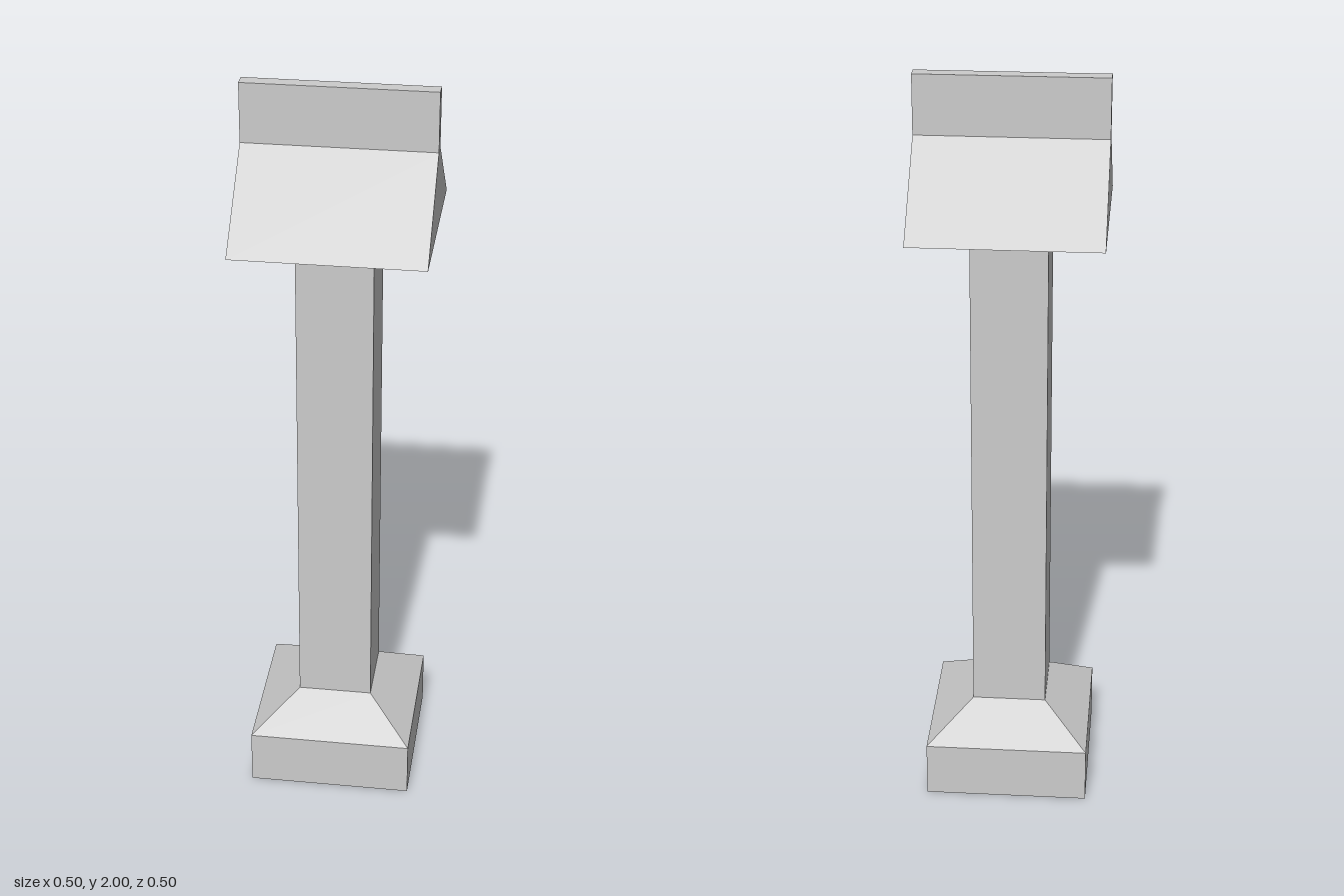
import * as THREE from 'three';

const grey = new THREE.MeshStandardMaterial({ color: 0xcccccc, flatShading: true });

export function createModel() {
  const group = new THREE.Group();

  const add = (name, geometry) => {
    const mesh = new THREE.Mesh(geometry, grey);
    mesh.name = name;
    group.add(mesh);
  };

  // Square block from y0 to y1, tapering between two half widths
  const block = (name, halfBottom, halfTop, y0, y1, open = true) => {
    const g = new THREE.CylinderGeometry(halfTop * Math.SQRT2, halfBottom * Math.SQRT2, y1 - y0, 4, 1, open);
    g.rotateY(Math.PI / 4).translate(0, (y0 + y1) / 2, 0);
    add(name, g);
  };

  // Plinth, sloped shoulder, shaft and the shallow underside of the cap
  block('plinth', 0.22, 0.22, 0, 0.151, false);
  block('plinthShoulder', 0.22, 0.1, 0.151, 0.241);
  block('shaft', 0.1, 0.1, 0.241, 1.619);
  block('capUnderside', 0.1, 0.248, 1.619, 1.63);

  // Gabled cap with its upright ridge fin, one section run along x
  const half = 0.248, fin = 0.019, eaves = 1.63, ridge = 1.843;
  const section = new THREE.Shape([
    [-half, eaves], [half, eaves], [fin, ridge], [fin, 2], [-fin, 2], [-fin, ridge],
  ].map(([z, y]) => new THREE.Vector2(z, y)));
  const cap = new THREE.ExtrudeGeometry(section, { depth: half * 2, bevelEnabled: false });
  add('gabledCap', cap.translate(0, 0, -half).rotateY(Math.PI / 2));

  return group;
}
